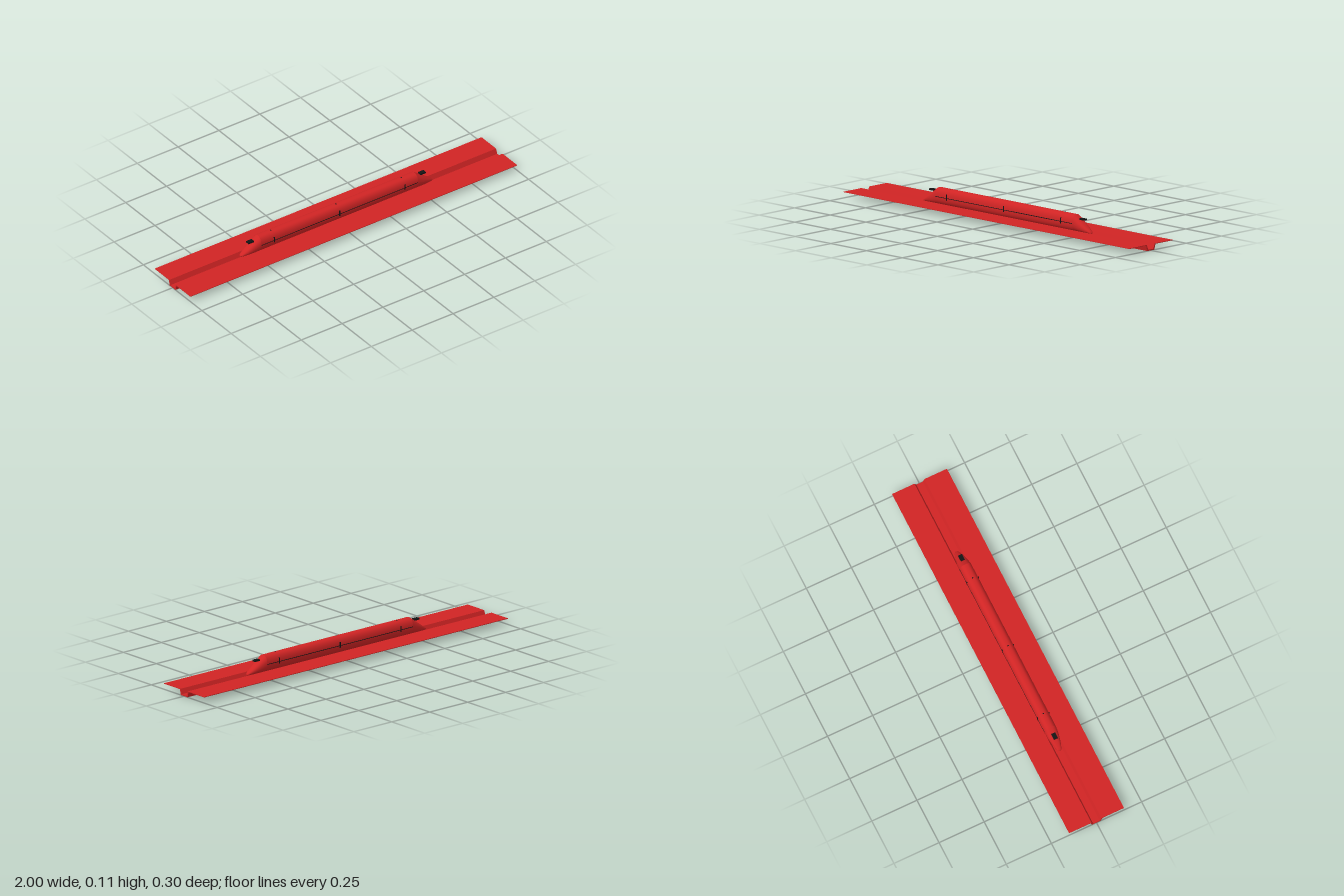
import * as THREE from 'three';

const red = new THREE.MeshStandardMaterial({ color: 0xd02424 });
red.name = 'red paint';
const black = new THREE.MeshStandardMaterial({ color: 0x141414 });
black.name = 'black trim';

const FLOOR = 0.024; // underside of the train

// Lofts egg-shaped sections [x, top height, half width] given in ascending x
function loft(sections, sides = 40) {
  const pos = [], index = [];
  for (const [x, top, w] of sections) {
    const h = (top - FLOOR) / 2;
    for (let j = 0; j <= sides; j++) {
      const a = (j % sides) / sides * Math.PI * 2;
      const c = Math.cos(a), s = Math.sin(a);
      pos.push(x, FLOOR + h + h * Math.sign(s) * Math.abs(s) ** 0.92, w * Math.sign(c) * Math.abs(c) ** 0.8);
    }
  }
  for (let i = 0; i < sections.length - 1; i++) {
    for (let j = 0; j < sides; j++) {
      const a = i * (sides + 1) + j, b = a + sides + 1;
      index.push(a, b, a + 1, b, b + 1, a + 1);
    }
  }
  const g = new THREE.BufferGeometry();
  g.setAttribute('position', new THREE.Float32BufferAttribute(pos, 3));
  g.setIndex(index);
  g.computeVertexNormals();
  return g;
}

export function createModel() {
  const root = new THREE.Group();
  root.name = 'monorailTrain';

  const add = (name, geometry, material, parent) => {
    const m = new THREE.Mesh(geometry, material);
    m.name = name;
    parent.add(m);
    return m;
  };
  const box = (name, w, h, d, x, y, z, material, parent) => {
    const m = add(name, new THREE.BoxGeometry(w, h, d), material, parent);
    m.position.set(x, y, z);
    return m;
  };

  // Guideway: open trough with a flat deck on each side
  const guideway = new THREE.Group();
  guideway.name = 'guideway';
  root.add(guideway);
  const trough = new THREE.Shape([
    [-0.025, 0], [0.025, 0], [0.034, 0.032], [0.028, 0.032],
    [0.018, 0.006], [-0.018, 0.006], [-0.028, 0.032], [-0.034, 0.032],
  ].map(([x, y]) => new THREE.Vector2(x, y)));
  const troughGeo = new THREE.ExtrudeGeometry(trough, { depth: 2, bevelEnabled: false });
  troughGeo.translate(0, 0, -1).rotateY(Math.PI / 2);
  add('trough', troughGeo, red, guideway);
  for (const s of [1, -1]) {
    box(s > 0 ? 'frontDeck' : 'backDeck', 2, 0.003, 0.121, 0, 0.0305, s * 0.0915, red, guideway);
  }

  // Train: straight hull with wedge noses at both ends
  const train = new THREE.Group();
  train.name = 'train';
  root.add(train);
  add('hull', loft([[-0.48, 0.109, 0.032], [0.48, 0.109, 0.032]]), red, train);
  const nose = [
    [0.48, 0.109, 0.032], [0.515, 0.084, 0.029], [0.55, 0.059, 0.022],
    [0.58, 0.037, 0.012], [0.586, 0.032, 0.007], [0.587, FLOOR + 0.001, 0],
  ];
  add('leftNose', loft(nose), red, train);
  add('rightNose', loft(nose.map(([x, t, w]) => [-x, t, w]).reverse()), red, train);

  for (const s of [1, -1]) {
    // Cab window block above each nose
    box('cabWindow', 0.032, 0.008, 0.021, s * 0.526, 0.09, 0, black, train);
    // Waist line and door marks on each flank
    box('waistLine', 0.96, 0.003, 0.002, 0, 0.066, s * 0.0317, black, train);
    for (const x of [-0.4, 0, 0.4]) {
      box('doorMark', 0.006, 0.03, 0.004, x, 0.07, s * 0.0308, black, train);
    }
  }
  // Small roof marks
  for (const x of [-0.4, 0, 0.4]) {
    box('roofMark', 0.006, 0.002, 0.006, x, 0.1085, 0, black, train);
  }
  return root;
}
